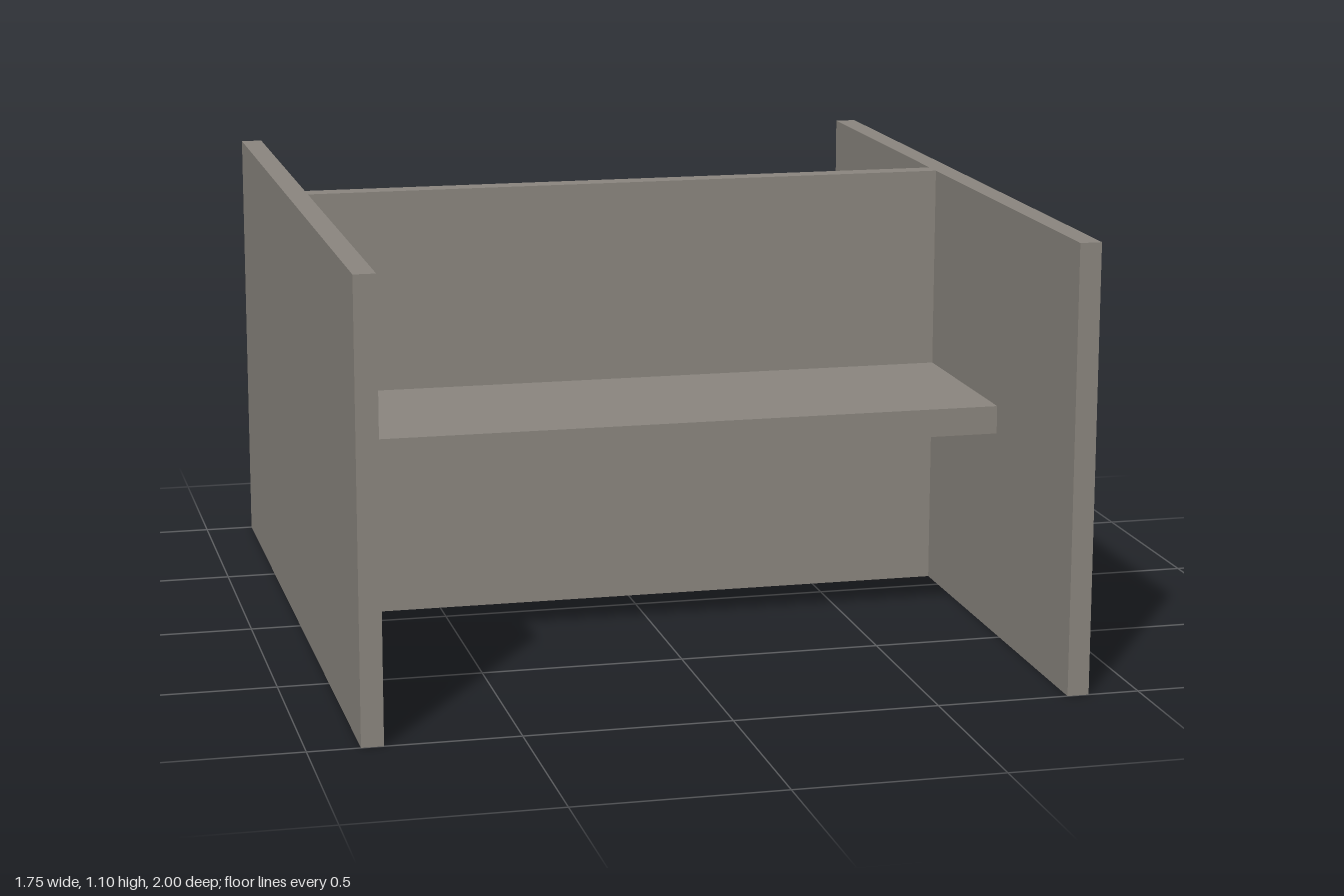
import * as THREE from 'three';

const HEIGHT = 1.095;
const OUTER = 0.875; // outer face of the side panels
const INNER = 0.822; // inner face of the side panels

export function createModel() {
  const model = new THREE.Group();
  model.name = 'doubleDesk';

  const board = new THREE.MeshStandardMaterial({ color: 0x8c8780 });
  board.name = 'warm grey board';

  // Box given by its low and high corners
  const addPanel = (name, [x0, y0, z0], [x1, y1, z1]) => {
    const mesh = new THREE.Mesh(new THREE.BoxGeometry(x1 - x0, y1 - y0, z1 - z0), board);
    mesh.name = name;
    mesh.position.set((x0 + x1) / 2, (y0 + y1) / 2, (z0 + z1) / 2);
    model.add(mesh);
  };

  // Side panels
  addPanel('leftSidePanel', [INNER, 0, -1], [OUTER, HEIGHT, 1]);
  addPanel('rightSidePanel', [-OUTER, 0, -1], [-INNER, HEIGHT, 1]);

  // Upright divider between the two work places
  addPanel('divider', [-INNER, 0, -0.136], [INNER, HEIGHT, -0.081]);

  // Desktops on both sides of the divider
  addPanel('frontDesktop', [-INNER, 0.514, -0.081], [INNER, 0.584, 0.445]);
  addPanel('backDesktop', [-INNER, 0.514, -0.637], [INNER, 0.584, -0.136]);

  return model;
}
